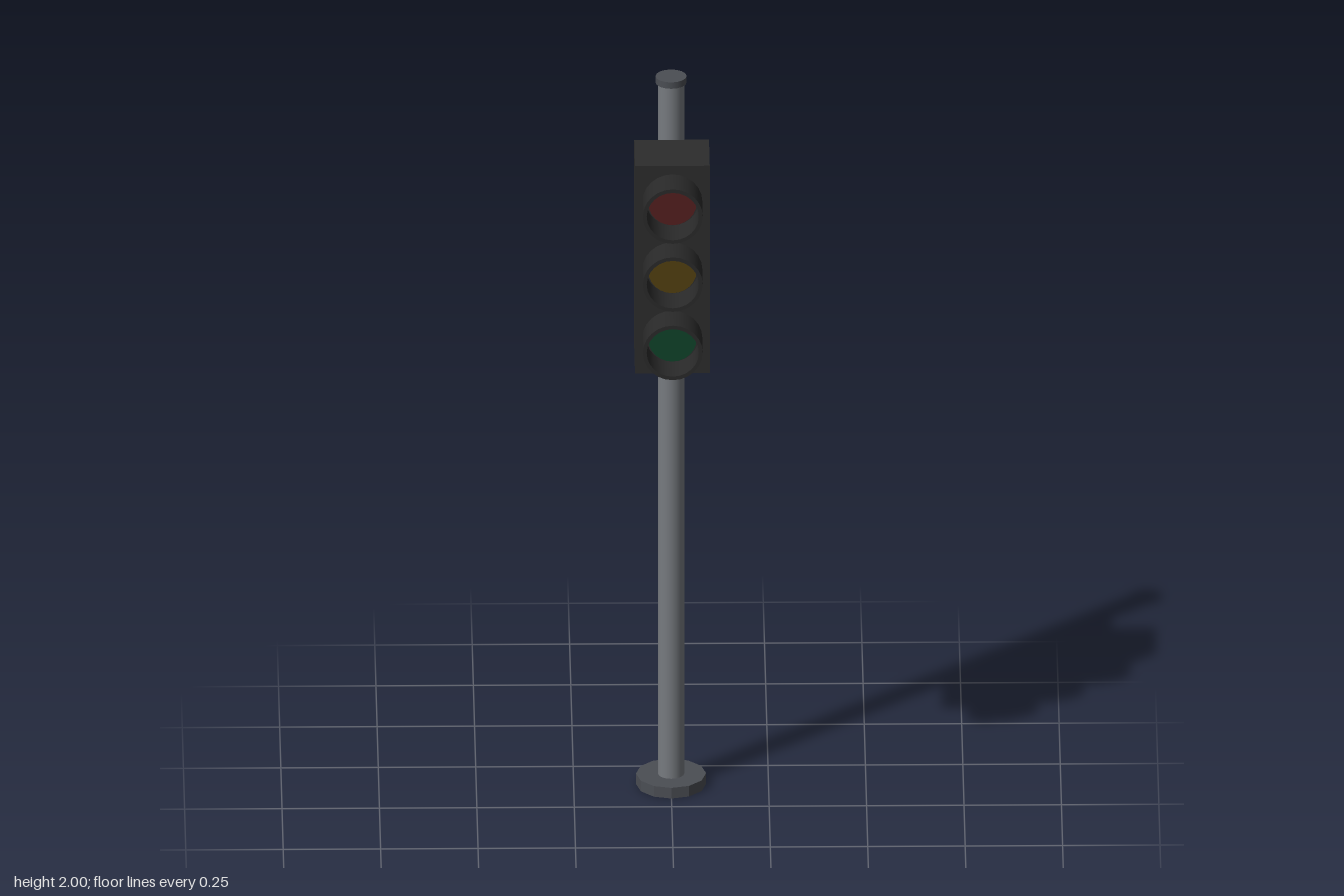
import * as THREE from 'three';

const paint = (name, color) => {
  const m = new THREE.MeshStandardMaterial({ color });
  m.name = name;
  return m;
};

export function createModel() {
  const model = new THREE.Group();
  model.name = 'trafficLight';

  const steel = paint('pole steel', 0x777b80);
  const darkMetal = paint('dark metal', 0x4b4e54);
  const black = paint('housing black', 0x2c2c2c);
  const visorBlack = paint('visor black', 0x292929);
  const red = paint('red lens', 0x531f1f);
  const amber = paint('amber lens', 0x524010);
  const green = paint('green lens', 0x0f4229);

  const add = (name, geometry, material, x, y, z) => {
    const mesh = new THREE.Mesh(geometry, material);
    mesh.name = name;
    mesh.position.set(x, y, z);
    model.add(mesh);
    return mesh;
  };

  // Pole with its foot and cap
  const poleZ = -0.14;
  const foot = darkMetal.clone();
  foot.flatShading = true;
  add('basePlate', new THREE.CylinderGeometry(0.09, 0.09, 0.03, 12).toNonIndexed(), darkMetal, 0, 0.015, poleZ)
    .geometry.computeVertexNormals();
  add('pole', new THREE.CylinderGeometry(0.034, 0.034, 1.98, 16), steel, 0, 1.0, poleZ);
  add('poleCap', new THREE.CylinderGeometry(0.04, 0.04, 0.018, 16), darkMetal, 0, 1.991, poleZ);

  // Signal housing and the two arms that hold it
  add('housing', new THREE.BoxGeometry(0.192, 0.586, 0.16), black, 0, 1.581, 0.058);
  for (const y of [1.796, 1.368]) {
    add('bracket', new THREE.BoxGeometry(0.048, 0.032, 0.12), darkMetal, 0, y, -0.08);
  }

  // Visor: a hollow tube, outer wall, front rim and inner wall kept sharp
  const outer = 0.077, inner = 0.067, depth = 0.094;
  const tubeParts = [
    [[outer, 0], [outer, depth]],
    [[outer, depth], [inner, depth]],
    [[inner, depth], [inner, 0]],
  ].map((line) => new THREE.LatheGeometry(line.map(([r, h]) => new THREE.Vector2(r, h)), 24));

  const lamps = [['red', red, 1.773], ['amber', amber, 1.581], ['green', green, 1.388]];
  for (const [name, lens, y] of lamps) {
    const visor = new THREE.Group();
    visor.name = name + 'Visor';
    for (const part of tubeParts) visor.add(new THREE.Mesh(part, visorBlack));
    visor.rotation.x = Math.PI / 2;
    visor.position.set(0, y, 0.136);
    model.add(visor);
    // Lens disc at the back of the visor
    const disc = add(name + 'Lens', new THREE.CylinderGeometry(0.062, 0.062, 0.016, 24), lens, 0, y, 0.14);
    disc.rotation.x = Math.PI / 2;
  }
  return model;
}
